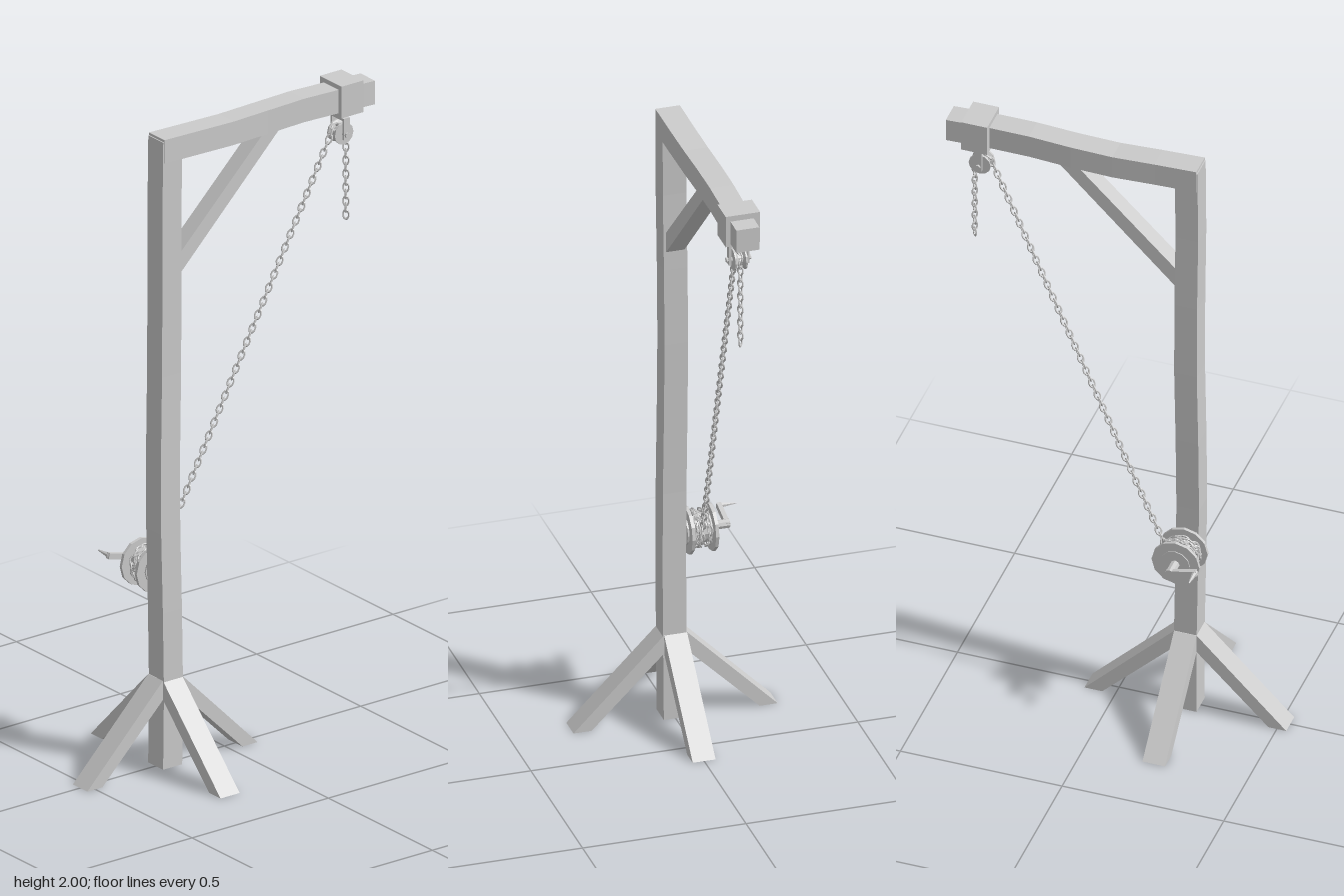
import * as THREE from 'three';

const POST_X = -0.217;
const V = (x, y, z) => new THREE.Vector3(x, y, z);

export function createModel() {
  const root = new THREE.Group();
  const wood = new THREE.MeshStandardMaterial({ color: 0xcccccc, flatShading: true });
  const metal = new THREE.MeshStandardMaterial({ color: 0xcccccc, flatShading: true });

  function add(name, geometry, material, pos = [0, 0, 0], parent = root) {
    const mesh = new THREE.Mesh(geometry, material);
    mesh.name = name;
    mesh.position.set(...pos);
    parent.add(mesh);
    return mesh;
  }
  const box = (name, w, h, d, pos, mat = wood, parent = root) =>
    add(name, new THREE.BoxGeometry(w, h, d), mat, pos, parent);

  // Moves every vertex of a geometry by a rule
  function warp(geometry, rule) {
    const p = geometry.attributes.position;
    const v = V(0, 0, 0);
    for (let i = 0; i < p.count; i++) {
      rule(v.fromBufferAttribute(p, i));
      p.setXYZ(i, v.x, v.y, v.z);
    }
    geometry.computeVertexNormals();
    return geometry;
  }

  // Timber cut from an xy outline, centred on z = 0
  function timber(points, depth) {
    const shape = new THREE.Shape(points.map(([x, y]) => new THREE.Vector2(x, y)));
    return new THREE.ExtrudeGeometry(shape, { depth, bevelEnabled: false }).translate(0, 0, -depth / 2);
  }

  // Slightly crooked post
  add('post', warp(new THREE.BoxGeometry(0.07, 1.98, 0.072, 1, 8, 1), v => {
    const y = v.y + 0.99;
    v.x += -0.005 * Math.sin(y * 1.6) + 0.003 * Math.sin(y * 6);
    v.z += 0.003 * Math.sin(y * 4);
  }), wood, [POST_X, 0.99, 0]);

  // Top beam, sagging a little and thinner towards its tip
  add('beam', warp(new THREE.BoxGeometry(0.775, 0.074, 0.075, 6, 1, 1), v => {
    const t = v.x / 0.775 + 0.5;
    v.y += 0.004 * Math.cos(t * 9);
    v.z = v.z * (1 - 0.06 * t) + 0.003 * Math.cos(t * 7);
  }), wood, [0.137, 1.947, 0]);
  box('beamCollar', 0.08, 0.1, 0.105, [0.43, 1.95, 0]);

  // Diagonal brace
  add('brace', timber([[-0.19, 1.54], [0.19, 1.92], [0.13, 1.92], [-0.19, 1.605]], 0.056), wood);

  // Four splayed feet
  for (let i = 0; i < 4; i++) {
    const foot = add('foot', timber([[0.03, 0.225], [0.257, 0], [0.312, 0], [0.035, 0.28], [0.03, 0.28]], 0.07),
      wood, [POST_X, 0, 0]);
    foot.rotation.y = i * Math.PI / 2;
  }

  // Winch drum between two flanges
  const winch = new THREE.Group();
  winch.name = 'winch';
  winch.position.set(POST_X, 0.6, 0);
  root.add(winch);
  const disc = (name, r, len, x, y, z, sides, parent = winch) =>
    add(name, new THREE.CylinderGeometry(r, r, len, sides).rotateX(Math.PI / 2), metal, [x, y, z], parent);
  disc('drum', 0.045, 0.09, 0, 0, -0.08, 12);
  disc('innerFlange', 0.074, 0.01, 0, 0, -0.045, 12);
  disc('outerFlange', 0.074, 0.01, 0, 0, -0.117, 12);
  disc('winchShaft', 0.014, 0.055, 0, 0, -0.147, 8);

  // Crank arm and tapered grip
  const arm = box('crankArm', 0.095, 0.018, 0.014, [-0.036, 0.009, -0.168], metal, winch);
  arm.rotation.z = -0.24;
  add('crankGrip', new THREE.CylinderGeometry(0.002, 0.009, 0.055, 6).rotateX(-Math.PI / 2),
    metal, [-0.077, 0.02, -0.193], winch);

  // Pulley block below the collar
  const pulley = new THREE.Group();
  pulley.name = 'pulley';
  pulley.position.set(0.425, 1.832, 0);
  root.add(pulley);
  const rim = [[0.001, -0.019], [0.034, -0.019], [0.034, -0.014], [0.022, -0.006],
    [0.022, 0.006], [0.034, 0.014], [0.034, 0.019], [0.001, 0.019]];
  add('pulleyWheel', new THREE.LatheGeometry(rim.map(p => new THREE.Vector2(...p)), 12).rotateX(Math.PI / 2),
    metal, [0, 0, 0], pulley);
  disc('pulleyAxle', 0.008, 0.075, 0, 0, 0, 8, pulley);
  for (const s of [-1, 1]) box('pulleyCheek', 0.022, 0.066, 0.007, [0, 0.019, s * 0.028], metal, pulley);
  box('pulleyBridge', 0.022, 0.008, 0.063, [0, 0.049, 0], metal, pulley);
  box('pulleyHanger', 0.012, 0.025, 0.016, [0, 0.062, 0], metal, pulley);

  // Chain path: windings on the drum, up to the pulley, over it and down
  const path = [];
  const turns = 4, steps = 16 * turns;
  for (let i = 0; i <= steps; i++) {
    const a = 0.5 - (steps - i) / 16 * Math.PI * 2;
    path.push(V(POST_X + 0.053 * Math.cos(a), 0.6 + 0.053 * Math.sin(a),
      -0.08 + 0.021 * Math.sin((steps - i) / steps * Math.PI * 3)));
  }
  for (let i = 0; i <= 8; i++) {
    const a = 2.7 * (1 - i / 8);
    path.push(V(0.42 + 0.026 * Math.cos(a), 1.832 + 0.026 * Math.sin(a), 0));
  }
  path.push(V(0.446, 1.555, 0));
  const curve = new THREE.CurvePath();
  for (let i = 1; i < path.length; i++) curve.add(new THREE.LineCurve3(path[i - 1], path[i]));

  // Oval links, each turned a quarter against the last
  const count = Math.round(curve.getLength() / 0.0215);
  const link = new THREE.TorusGeometry(0.0085, 0.0027, 5, 10).scale(1.6, 1, 1);
  const points = curve.getSpacedPoints(count);
  const chain = new THREE.Group();
  chain.name = 'chain';
  root.add(chain);
  for (let i = 0; i < count; i++) {
    const dir = points[i + 1].clone().sub(points[i]).normalize();
    const mid = points[i].clone().lerp(points[i + 1], 0.5);
    const mesh = add('chainLink', link, metal, mid.toArray(), chain);
    mesh.quaternion.setFromUnitVectors(V(1, 0, 0), dir);
    mesh.rotateX(Math.PI / 4 + (i % 2) * Math.PI / 2);
  }
  return root;
}
